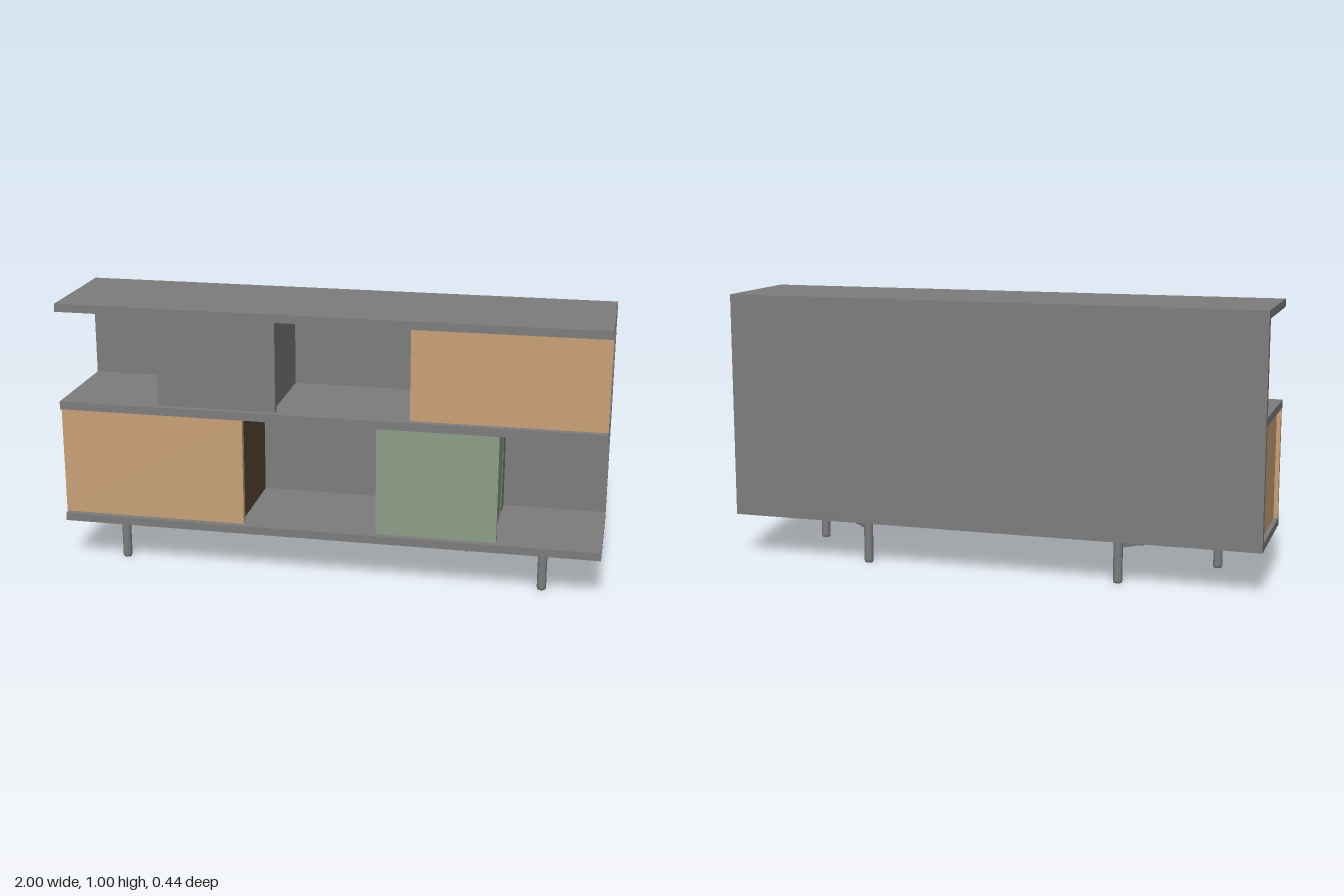
import * as THREE from 'three';

const paint = (name, color) => {
  const m = new THREE.MeshStandardMaterial({ color });
  m.name = name;
  return m;
};

export function createModel() {
  const model = new THREE.Group();
  model.name = 'sideboard';
  const grey = paint('grey', 0x7c7c7c);
  const wood = paint('wood', 0xc8a077);
  const darkWood = paint('dark wood', 0x5a4736);
  const green = paint('green', 0x8c9e87);

  const add = (name, geometry, material, parent = model) => {
    const mesh = new THREE.Mesh(geometry, material);
    mesh.name = name;
    parent.add(mesh);
    return mesh;
  };
  // Box given by its limits on each axis
  const box = (name, [x0, x1], [y0, y1], [z0, z1], material, parent) => {
    const g = new THREE.BoxGeometry(x1 - x0, y1 - y0, z1 - z0);
    g.translate((x0 + x1) / 2, (y0 + y1) / 2, (z0 + z1) / 2);
    return add(name, g, material, parent);
  };

  // Shelves and back
  box('topShelf', [-1, 1], [0.97, 1], [-0.19, 0.22], grey);
  box('middleShelf', [-1, 1], [0.6, 0.63], [-0.19, 0.22], grey);
  box('bottomShelf', [-1, 1], [0.16, 0.19], [-0.22, 0.22], grey);
  box('backPanel', [-1, 1], [0.19, 1], [-0.22, -0.19], grey);

  // Cabinets: a slightly narrower body behind an overlapping door
  const cabinet = (name, x0, x1, y0, y1, doorMaterial, bodyMaterial = doorMaterial) => {
    const group = new THREE.Group();
    group.name = name;
    model.add(group);
    box('cabinetBody', [x0 + 0.015, x1 - 0.015], [y0, y1], [-0.19, 0.182], bodyMaterial, group);
    box('cabinetDoor', [x0, x1], [y0 + 0.003, y1 - 0.003], [0.182, 0.205], doorMaterial, group);
    return group;
  };
  cabinet('upperGreyCabinet', -0.625, -0.185, 0.63, 0.97, grey);
  cabinet('upperWoodCabinet', 0.305, 1, 0.63, 0.97, wood, [wood, darkWood, wood, wood, wood, wood]);
  cabinet('lowerWoodCabinet', -1, -0.31, 0.19, 0.6, wood, [darkWood, wood, wood, wood, wood, wood]);
  const greenCabinet = cabinet('greenCabinet', 0.185, 0.625, 0.19, 0.6, green);

  // Grey area with a curved border on the side of the green cabinet
  const area = new THREE.Shape();
  area.moveTo(0.095, 0.19);
  area.quadraticCurveTo(0.113, 0.28, 0.113, 0.36);
  area.lineTo(0.113, 0.43);
  area.bezierCurveTo(0.11, 0.52, 0.06, 0.58, -0.01, 0.585);
  area.lineTo(-0.1, 0.585);
  area.lineTo(-0.182, 0.58);
  area.lineTo(-0.182, 0.6);
  area.lineTo(0.19, 0.6);
  area.lineTo(0.19, 0.19);
  const plate = new THREE.ExtrudeGeometry(area, { depth: 0.003, bevelEnabled: false, curveSegments: 12 });
  plate.rotateY(Math.PI / 2);
  plate.translate(0.61, 0, 0);
  add('sidePlate', plate, grey, greenCabinet);

  // Underframe: two slanted bars, each with two legs, and a long bar between
  const front = new THREE.Vector2(0.79, 0.14);
  const rear = new THREE.Vector2(0.48, -0.17);
  const middle = front.clone().lerp(rear, 0.5);
  const bolt = (x, z) => {
    add('bolt', new THREE.CylinderGeometry(0.008, 0.008, 0.006, 12), grey).position.set(x, 0.128, z);
  };
  box('longBar', [-middle.x, middle.x], [0.131, 0.16], [middle.y - 0.012, middle.y + 0.012], grey);
  bolt(0, middle.y);
  for (const side of [1, -1]) {
    const bar = add('slantedBar', new THREE.BoxGeometry(front.distanceTo(rear), 0.03, 0.024), grey);
    bar.position.set(side * middle.x, 0.145, middle.y);
    bar.rotation.y = -side * Math.PI / 4;
    for (const p of [front, rear]) {
      add('leg', new THREE.CylinderGeometry(0.017, 0.017, 0.152, 24), grey).position.set(side * p.x, 0.084, p.y);
      add('foot', new THREE.CylinderGeometry(0.017, 0.014, 0.008, 24), grey).position.set(side * p.x, 0.004, p.y);
    }
    for (const t of [0.25, 0.77]) {
      const p = front.clone().lerp(rear, t);
      bolt(side * p.x, p.y);
    }
  }
  return model;
}
